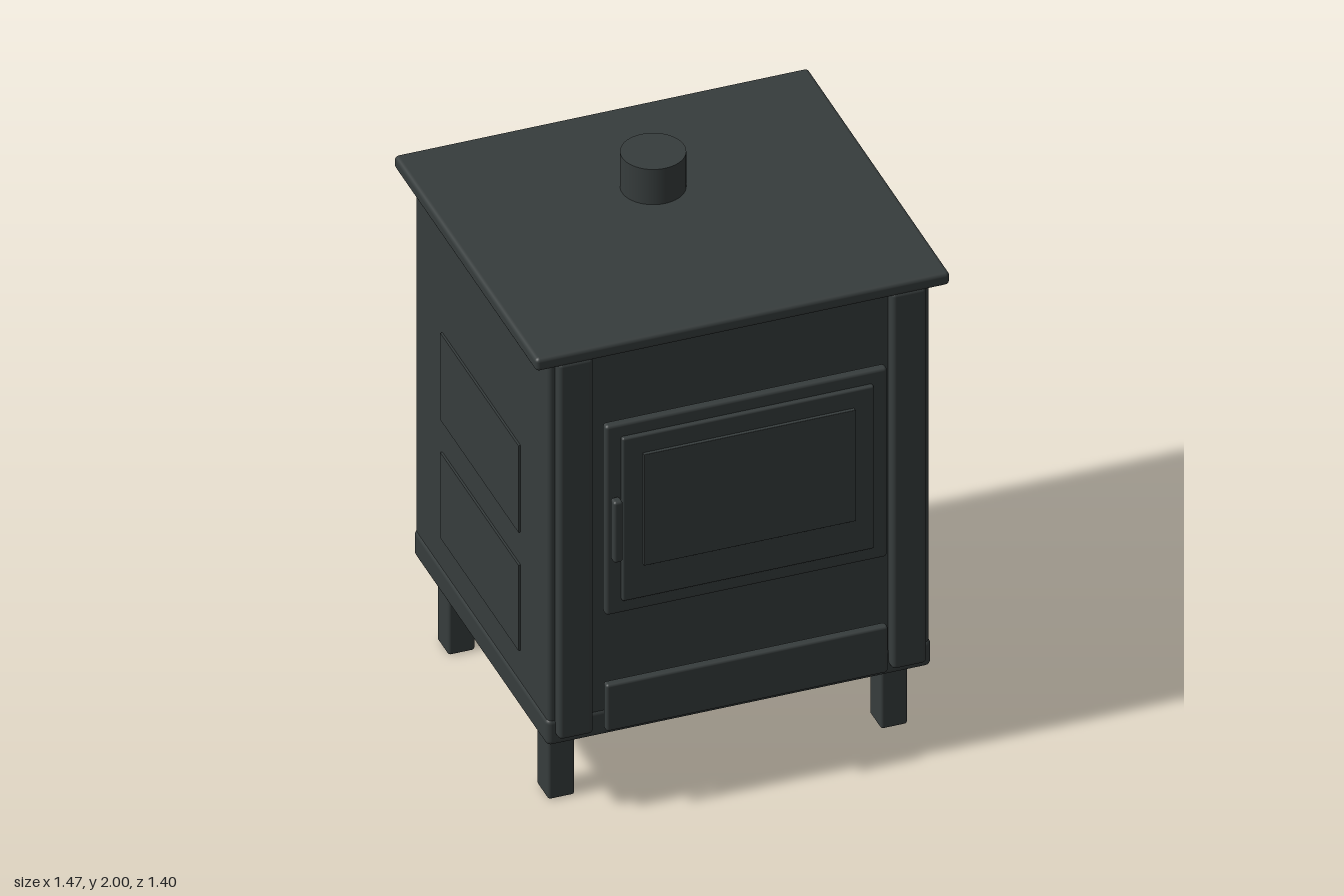
import * as THREE from 'three';
import { RoundedBoxGeometry } from 'three/addons/geometries/RoundedBoxGeometry.js';

export function createModel() {
  const stove = new THREE.Group();
  stove.name = 'woodStove';
  const castIron = new THREE.MeshStandardMaterial({ color: 0x363c3c });
  castIron.name = 'castIron';

  function add(name, geometry, x, y, z) {
    const mesh = new THREE.Mesh(geometry, castIron);
    mesh.name = name;
    mesh.position.set(x, y, z);
    stove.add(mesh);
  }

  // Rounded box given by its extents on each axis
  function block(name, [x0, x1], [y0, y1], [z0, z1], radius) {
    const size = [x1 - x0, y1 - y0, z1 - z0];
    const geometry = radius
      ? new RoundedBoxGeometry(...size, 3, radius)
      : new THREE.BoxGeometry(...size);
    add(name, geometry, (x0 + x1) / 2, (y0 + y1) / 2, (z0 + z1) / 2);
  }

  // Firebox, base and top plate
  block('body', [-0.677, 0.677], [0.3, 1.83], [-0.652, 0.58], 0.015);
  block('base', [-0.683, 0.683], [0.285, 0.39], [-0.657, 0.585], 0.02);
  block('topPlate', [-0.735, 0.735], [1.81, 1.86], [-0.7, 0.62], 0.015);

  // Flue collar
  add('flueCollar', new THREE.CylinderGeometry(0.11, 0.11, 0.15, 48), 0, 1.925, -0.215);

  // Mirrored parts: front pillars, legs and raised side panels
  for (const [side, s] of [['left', 1], ['right', -1]]) {
    const span = (a, b) => (s > 0 ? [a, b] : [-b, -a]);
    block(side + 'Pillar', span(0.53, 0.653), [0.325, 1.82], [0.54, 0.62], 0.015);
    block(side + 'FrontLeg', span(0.543, 0.638), [0, 0.29], [0.373, 0.48], 0.01);
    block(side + 'BackLeg', span(0.543, 0.638), [0, 0.29], [-0.553, -0.446], 0.01);
    block(side + 'UpperPanel', span(0.665, 0.685), [0.98, 1.325], [-0.4, 0.325]);
    block(side + 'LowerPanel', span(0.665, 0.685), [0.51, 0.85], [-0.4, 0.325]);
  }

  // Door: backing, stepped frame and window
  block('doorBacking', [-0.44, 0.44], [0.87, 1.49], [0.57, 0.63]);
  block('doorFrame', [-0.5, 0.5], [0.805, 1.558], [0.618, 0.653], 0.012);
  block('doorInnerFrame', [-0.447, 0.447], [0.86, 1.508], [0.63, 0.669], 0.008);
  block('window', [-0.375, 0.375], [0.995, 1.437], [0.64, 0.682], 0.002);

  // Door handle on its stem
  block('doorHandle', [-0.489, -0.456], [1.04, 1.282], [0.662, 0.7], 0.01);
  block('handleStem', [-0.48, -0.465], [1.13, 1.19], [0.64, 0.67]);

  // Ash drawer front on its hidden slide
  block('ashDrawerFront', [-0.5, 0.5], [0.348, 0.533], [0.626, 0.659], 0.01);
  block('ashDrawerSlide', [-0.44, 0.44], [0.41, 0.47], [0.57, 0.635]);

  return stove;
}
